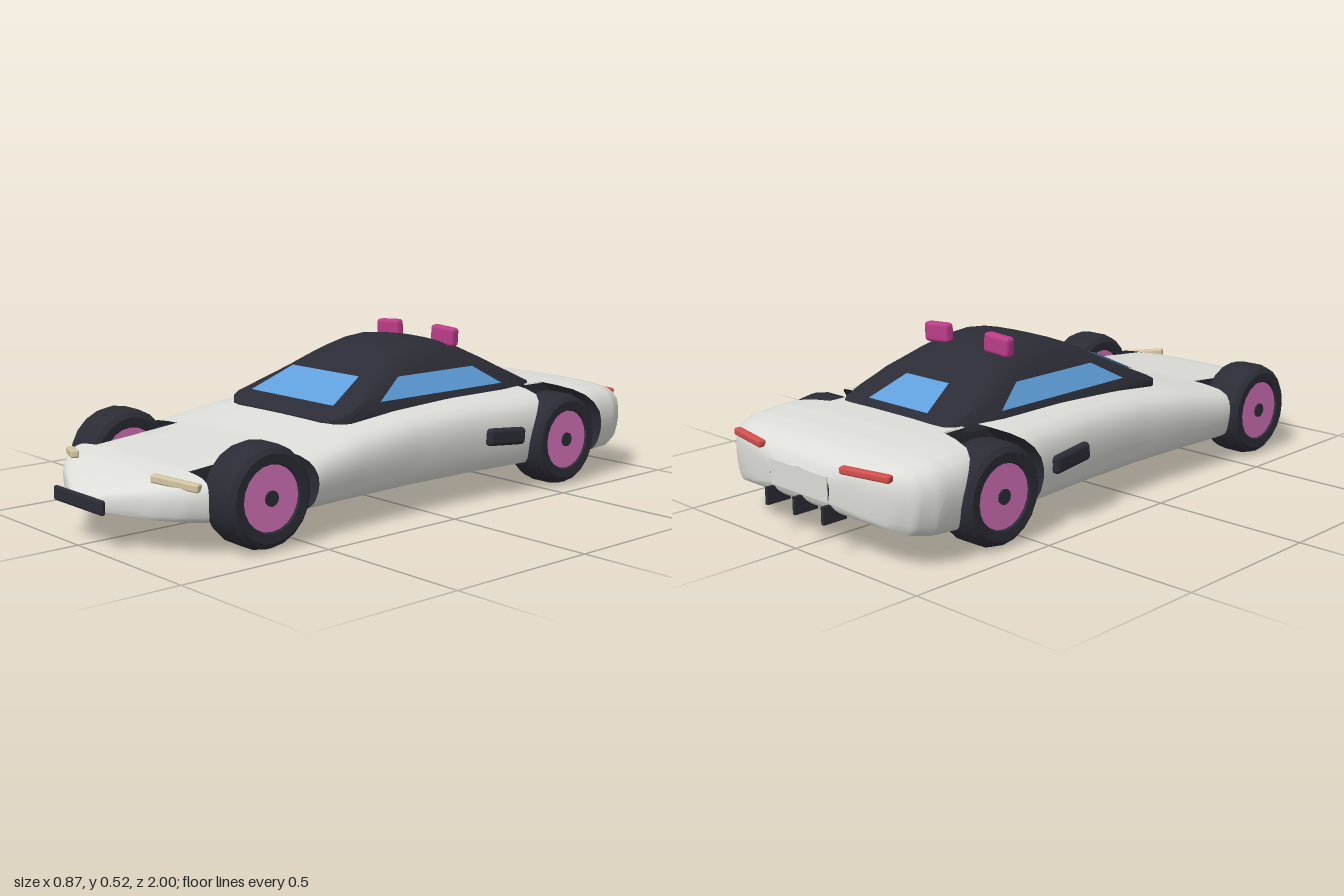
import * as THREE from 'three';
import { toCreasedNormals } from 'three/addons/utils/BufferGeometryUtils.js';
import { RoundedBoxGeometry } from 'three/addons/geometries/RoundedBoxGeometry.js';

const material = (name, color, side = THREE.FrontSide) => {
  const m = new THREE.MeshStandardMaterial({ color, side });
  m.name = name;
  return m;
};

// Piecewise linear lookup in rows sorted by falling z
function sample(rows, z) {
  if (z >= rows[0][0]) return rows[0].slice(1);
  for (let i = 1; i < rows.length; i++) {
    const a = rows[i - 1], b = rows[i];
    if (z >= b[0]) {
      const t = (a[0] - z) / (a[0] - b[0]);
      return a.slice(1).map((v, k) => v + (b[k + 1] - v) * t);
    }
  }
  return rows[rows.length - 1].slice(1);
}

// Body stations: z, half width, top, bottom
const BODY = [
  [0.985, 0.06, 0.15, 0.115], [0.95, 0.14, 0.172, 0.108], [0.9, 0.24, 0.195, 0.102],
  [0.85, 0.31, 0.215, 0.1], [0.79, 0.36, 0.228, 0.096], [0.63, 0.4, 0.243, 0.094],
  [0.46, 0.415, 0.258, 0.094], [0.27, 0.402, 0.292, 0.094], [0.05, 0.393, 0.315, 0.094],
  [-0.2, 0.4, 0.325, 0.094], [-0.45, 0.42, 0.325, 0.094], [-0.6, 0.425, 0.322, 0.094],
  [-0.75, 0.435, 0.32, 0.094], [-0.84, 0.428, 0.312, 0.097], [-0.9, 0.4, 0.3, 0.105],
  [-0.94, 0.345, 0.285, 0.12], [-0.965, 0.25, 0.265, 0.14], [-0.978, 0.13, 0.235, 0.16],
];
// Half cross-section from the top centre to the sill, as fractions
const SECTION = [
  [0, 1], [0.35, 0.995], [0.58, 0.985], [0.72, 0.965], [0.86, 0.925], [0.94, 0.85], [0.98, 0.74],
  [1, 0.6], [1, 0.45], [0.99, 0.3], [0.97, 0.14], [0.95, 0.06], [0.92, 0],
];

// Cabin stations: z, half base width, top, base
const CABIN = [
  [0.272, 0.2, 0.296, 0.28], [0.262, 0.24, 0.304, 0.28], [0.245, 0.265, 0.316, 0.283],
  [0.22, 0.28, 0.33, 0.286], [0.15, 0.28, 0.365, 0.29], [0.08, 0.28, 0.4, 0.295],
  [0, 0.28, 0.442, 0.3], [-0.06, 0.28, 0.47, 0.3], [-0.12, 0.28, 0.488, 0.3], [-0.2, 0.28, 0.497, 0.3],
  [-0.28, 0.28, 0.489, 0.3], [-0.36, 0.28, 0.462, 0.3], [-0.45, 0.28, 0.418, 0.3],
  [-0.49, 0.273, 0.395, 0.3], [-0.55, 0.262, 0.365, 0.3], [-0.61, 0.243, 0.335, 0.3],
  [-0.628, 0.225, 0.327, 0.3], [-0.64, 0.18, 0.318, 0.3],
];
const cabinX = (y) => 0.28 - 0.62 * Math.max(0, y - 0.312);

// Skin and end walls through mirrored half sections, ordered front to back;
// quads lying on the clamp plane join the end walls
function loft(rings, clamp = Infinity) {
  const n = rings[0].length, full = 2 * n, pos = [], skin = [], walls = [];
  for (const r of rings) {
    for (const [x, y, z] of r) pos.push(x, y, z);
    for (const [x, y, z] of [...r].reverse()) pos.push(-x, y, z);
  }
  for (let i = 0; i < rings.length - 1; i++) {
    for (let j = 0; j < full - 1; j++) {
      const a = i * full + j, c = a + full;
      const onClamp = j !== n - 1 && [a, a + 1, c, c + 1].every((v) => Math.abs(pos[v * 3]) >= clamp - 1e-6);
      (onClamp ? walls : skin).push(a, a + 1, c, a + 1, c + 1, c);
    }
  }
  for (const [start, front] of [[0, true], [(rings.length - 1) * full, false]]) {
    for (let j = 0; j < n - 1; j++) {
      const r = start + j, l = start + full - 1 - j;
      walls.push(...(front ? [r, l, l - 1, r, l - 1, r + 1] : [r, l - 1, l, r, r + 1, l - 1]));
    }
  }
  return [skin, walls].map((index) => {
    const g = new THREE.BufferGeometry();
    g.setAttribute('position', new THREE.Float32BufferAttribute(pos, 3));
    g.setIndex(index);
    return toCreasedNormals(g, 0.7);
  });
}

// Body piece between two end curves that give z at a height
function bodyPiece(frontEdge, backEdge, steps, clamp = Infinity) {
  const rings = [];
  for (let i = 0; i <= steps; i++) {
    const s = i / steps;
    rings.push(SECTION.map(([fx, fy]) => {
      let y = 0.2, z = 0, st;
      for (let k = 0; k < 8; k++) {
        z = frontEdge(y) + (backEdge(y) - frontEdge(y)) * s;
        st = sample(BODY, z);
        y = st[2] + (st[1] - st[2]) * fy;
      }
      return [Math.min(fx * st[0], clamp), y, z];
    }));
  }
  return loft(rings, clamp);
}

export function createModel() {
  const car = new THREE.Group();
  car.name = 'car';
  const paint = material('white paint', 0xdcdcd8);
  const dark = material('dark trim', 0x2c2c36);
  const glass = material('blue glass', 0x5f9fdb, THREE.DoubleSide);
  const pink = material('pink rim', 0xd674bb);
  const magenta = material('magenta lamp', 0xbb3d88);
  const cream = material('cream headlight', 0xd3c6a2);
  const red = material('red taillight', 0xd2504e);

  const add = (name, geometry, mat, p = [0, 0, 0], r = [0, 0, 0], parent = car) => {
    const m = new THREE.Mesh(geometry, mat);
    m.name = name;
    m.position.set(...p);
    m.rotation.set(...r);
    parent.add(m);
    return m;
  };
  const rounded = (w, h, d, radius) => new RoundedBoxGeometry(w, h, d, 3, radius);

  // Body shell, cut through by round wheel arches
  const arch = (c, sign) => (y) => c + sign * Math.sqrt(Math.max(0, 0.17 ** 2 - (y - 0.16) ** 2));
  const F = 0.63, R = -0.6;
  const pieces = [
    ['nose', bodyPiece(() => 0.985, arch(F, 1), 14), paint, dark],
    ['hoodCore', bodyPiece(arch(F, 1), arch(F, -1), 10, 0.24), paint, dark],
    ['middle', bodyPiece(arch(F, -1), arch(R, 1), 24), paint, dark],
    ['rearCore', bodyPiece(arch(R, 1), arch(R, -1), 10, 0.25), paint, dark],
    ['tail', bodyPiece(arch(R, -1), () => -0.978, 24), paint, dark],
  ];
  for (const [name, [skin, walls], a, b] of pieces) {
    add(name, skin, a);
    add(name + 'ArchWalls', walls, b);
  }
  // Painted faces closing the nose and tail
  for (const [name, z, w, y, h] of [['noseTip', 0.986, 0.11, 0.1325, 0.034], ['tailPanel', -0.979, 0.25, 0.1975, 0.074]]) {
    add(name, new THREE.BoxGeometry(w, h, 0.004), paint, [0, y, z]);
  }

  // Cabin
  const cabin = CABIN.map(([z, w, h, b]) => {
    const k = w / 0.28, at = (f) => b + (h - b) * f, top = cabinX(h) * k;
    return [[0, h], [top * 0.45, h - 0.002], [top * 0.78, at(0.965)], [top * 0.93, at(0.9)],
      ...[0.78, 0.55, 0.3, 0.12, 0].map((f) => [cabinX(at(f)) * k, at(f)])].map(([x, y]) => [x, y, z]);
  });
  const [cabinSkin, cabinEnds] = loft(cabin);
  add('cabin', cabinSkin, dark);
  add('cabinEnds', cabinEnds, dark);

  // Windows
  const pane = (name, ...c) => {
    const g = new THREE.BufferGeometry();
    g.setAttribute('position', new THREE.Float32BufferAttribute(c.flat(), 3));
    g.setIndex([0, 1, 2, 0, 2, 3]);
    g.computeVertexNormals();
    add(name, g, glass);
  };
  pane('windshield', [-0.2, 0.335, 0.222], [0.2, 0.335, 0.222], [0.16, 0.405, 0.082], [-0.16, 0.405, 0.082]);
  pane('rearWindow', [0.128, 0.34, -0.612], [-0.128, 0.34, -0.612], [-0.092, 0.4, -0.492], [0.092, 0.4, -0.492]);
  for (const s of [1, -1]) {
    const side = [[0.09, 0.34], [-0.45, 0.34], [-0.35, 0.402], [-0.02, 0.402]]
      .map(([z, y]) => [s * (cabinX(y) + 0.005), y, z]);
    pane(s > 0 ? 'leftWindow' : 'rightWindow', ...(s > 0 ? side : side.reverse()));
  }

  // Wheels
  const tyre = toCreasedNormals(new THREE.LatheGeometry(
    [[0.093, -0.058], [0.1, -0.068], [0.128, -0.07], [0.143, -0.058], [0.151, -0.035],
      [0.151, 0.035], [0.143, 0.058], [0.128, 0.07], [0.1, 0.068], [0.093, 0.058]]
      .map(([x, y]) => new THREE.Vector2(x, y)), 20), 0.5);
  const rim = new THREE.CylinderGeometry(0.096, 0.096, 0.124, 24);
  const hub = new THREE.CylinderGeometry(0.023, 0.023, 0.134, 12);
  for (const s of [1, -1]) {
    for (const [name, x, z] of [['Front', 0.348, F], ['Rear', 0.36, R]]) {
      const wheel = new THREE.Group();
      wheel.name = (s > 0 ? 'left' : 'right') + name + 'Wheel';
      wheel.position.set(s * x, 0.154, z);
      wheel.rotation.z = Math.PI / 2;
      add('tyre', tyre, dark, undefined, undefined, wheel);
      add('rim', rim, pink, undefined, undefined, wheel);
      add('hub', hub, dark, undefined, undefined, wheel);
      car.add(wheel);
    }
    // Lamps and side intake
    add('headlight', rounded(0.15, 0.024, 0.026, 0.006), cream, [s * 0.268, 0.206, 0.848], [0, s * 0.45, -s * 0.12]);
    add('taillight', rounded(0.17, 0.022, 0.025, 0.007), red, [s * 0.257, 0.265, -0.953], [0, -s * 0.2, 0]);
    add('roofLamp', rounded(0.102, 0.062, 0.036, 0.012), magenta, [s * 0.13, 0.494, -0.322], [0, 0, -s * 0.06]);
    add('sideIntake', rounded(0.03, 0.056, 0.158, 0.014), dark, [s * 0.414, 0.201, -0.315], [-0.08, -s * 0.06, 0]);
  }

  // Front plate and rear fins
  add('frontPlate', rounded(0.256, 0.044, 0.016, 0.0079), dark, [0, 0.132, 0.992]);
  for (const x of [-0.125, 0, 0.125]) {
    add('rearFin', new THREE.BoxGeometry(0.011, 0.052, 0.08), dark, [x, 0.128, -0.96]);
  }
  return car;
}
